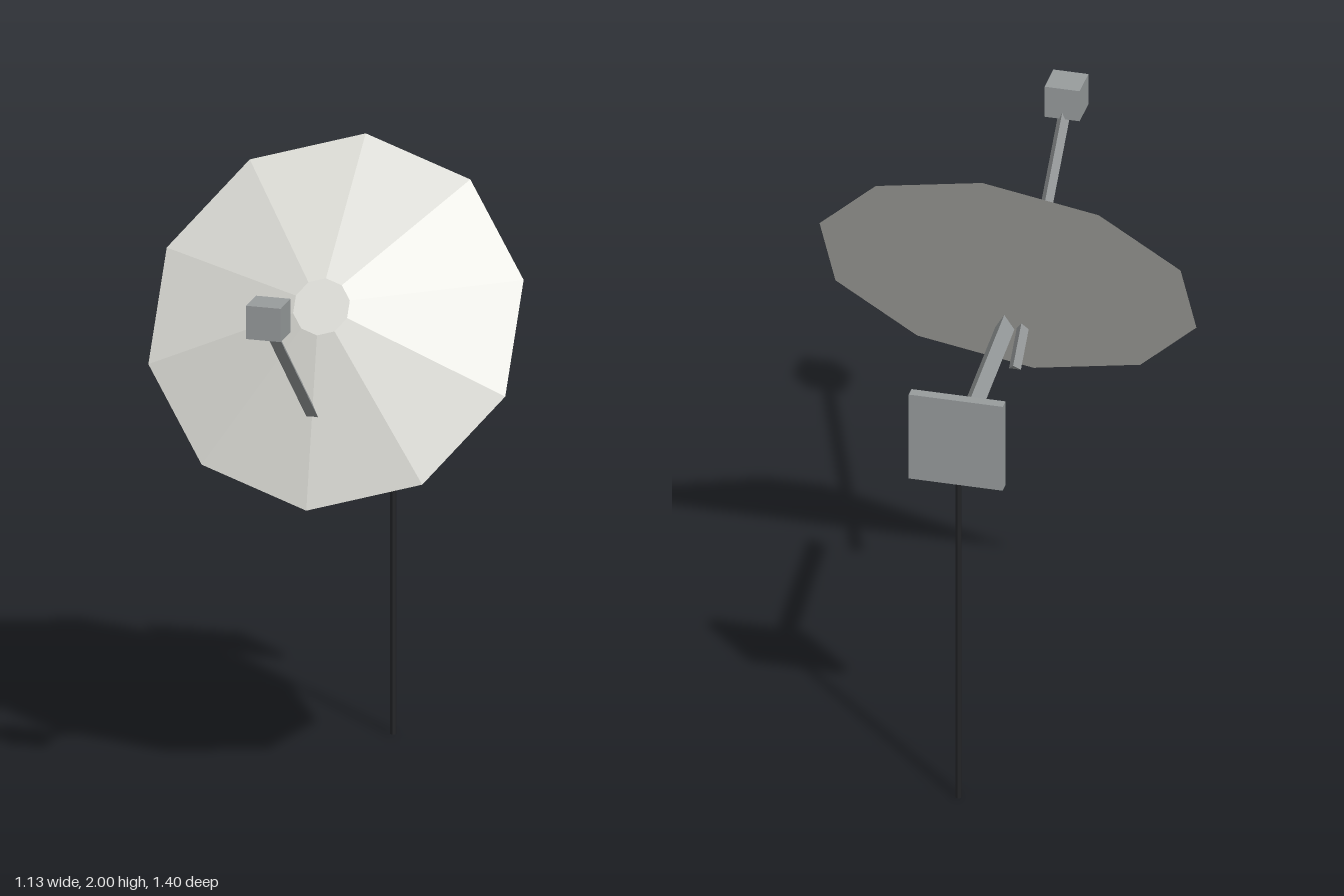
import * as THREE from 'three';

const flat = (name, color) => {
  const m = new THREE.MeshStandardMaterial({ color, flatShading: true });
  m.name = name;
  return m;
};

export function createModel() {
  const group = new THREE.Group();
  const offWhite = flat('offWhite', 0xdcdcd6);
  const grey = flat('grey', 0x989c9d);
  const darkGrey = flat('darkGrey', 0x222326);

  const add = (name, geometry, material, x, y, z) => {
    const mesh = new THREE.Mesh(geometry, material);
    mesh.name = name;
    mesh.position.set(x, y, z);
    group.add(mesh);
    return mesh;
  };

  // Three-sided bar in the x = 0 plane, ridge on top and flat face below
  const bar = (name, [y0, z0], [y1, z1], radius) => {
    const length = Math.hypot(y1 - y0, z1 - z0);
    const geometry = new THREE.CylinderGeometry(radius, radius, length, 3, 1, false, Math.PI);
    geometry.translate(0, 0, radius / 4);
    const mesh = add(name, geometry, grey, 0, (y0 + y1) / 2, (z0 + z1) / 2);
    mesh.rotation.x = Math.atan2(z1 - z0, y1 - y0);
  };

  // Dish: shallow ten-sided frustum with a flat back, tipped upwards
  const tilt = Math.atan2(0.85, 0.526);
  const depth = 0.18;
  const dishGeometry = new THREE.CylinderGeometry(0.09, 0.595, depth, 10);
  dishGeometry.translate(0, depth / 2, 0);
  add('dish', dishGeometry, offWhite, 0, 1.494, -0.063).rotation.x = tilt;

  // Receiver on its arm through the dish
  bar('receiverArm', [1.127, 0.0105], [1.688, 0.62], 0.0215);
  add('receiver', new THREE.BoxGeometry(0.11, 0.106, 0.106), grey, 0, 1.72, 0.65);

  // Rear mount: arm, plate and thin pole
  bar('mountArm', [1.273, -0.68], [1.355, -0.105], 0.0346);
  add('mountPlate', new THREE.BoxGeometry(0.295, 0.296, 0.034), grey, 0, 1.27, -0.684);
  add('pole', new THREE.CylinderGeometry(0.01, 0.01, 1.26, 6), darkGrey, 0, 0.63, -0.667);

  return group;
}
